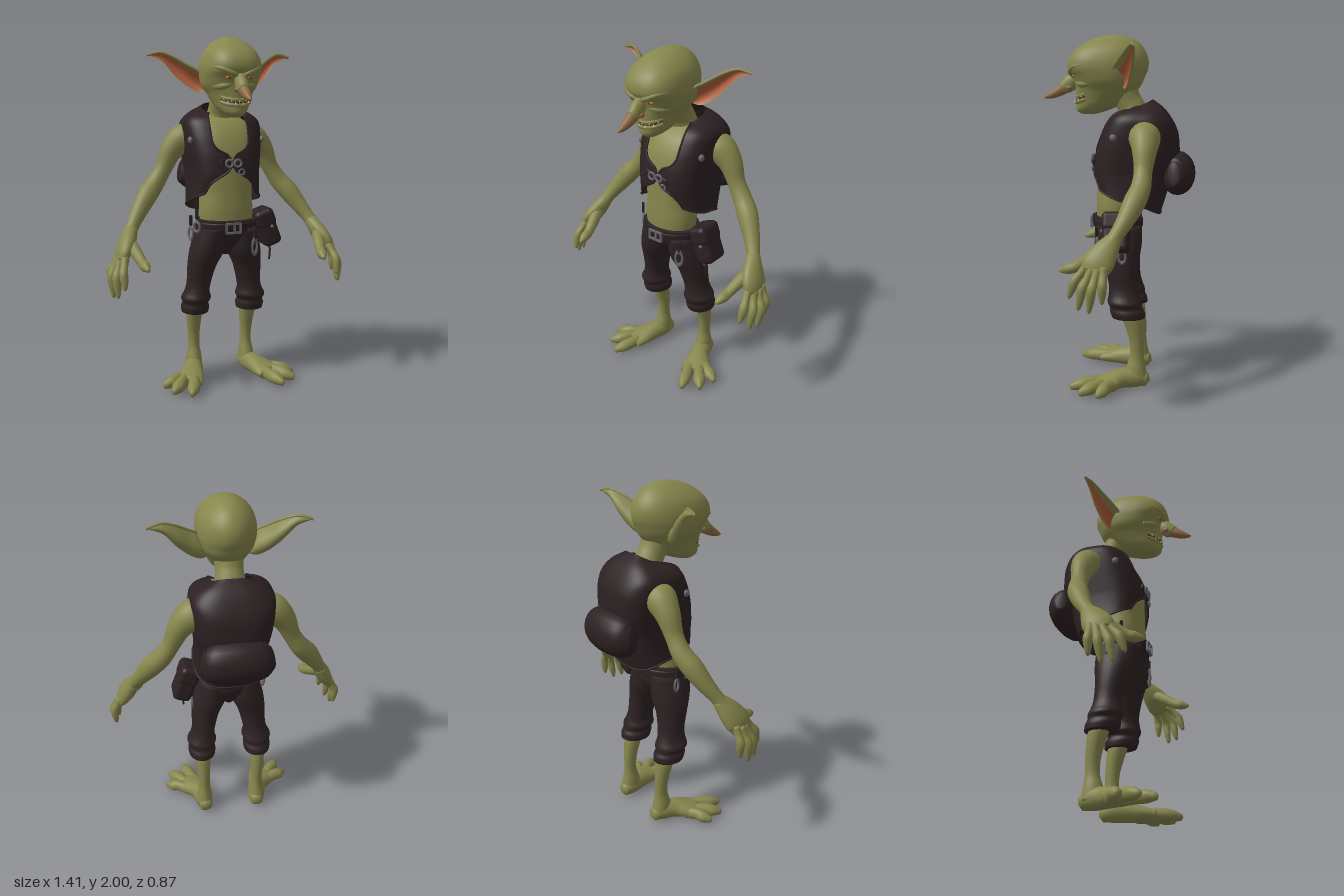
import * as THREE from 'three';
import { mergeVertices } from 'three/addons/utils/BufferGeometryUtils.js';
import { ParametricGeometry } from 'three/addons/geometries/ParametricGeometry.js';
import { RoundedBoxGeometry } from 'three/addons/geometries/RoundedBoxGeometry.js';

const V = (x, y, z) => new THREE.Vector3(x, y, z);
const soft = (k, power) => Math.sign(k) * Math.abs(k) ** power;
const flat = (name, color, side = THREE.FrontSide) => {
  const m = new THREE.MeshStandardMaterial({ color, side });
  m.name = name;
  return m;
};

// Smooth surface from a (u, v) rule, with seams welded
function surface(fn, nu, nv) {
  const g = new ParametricGeometry(fn, nu, nv);
  g.deleteAttribute('normal');
  g.deleteAttribute('uv');
  const welded = mergeVertices(g, 1e-5);
  welded.computeVertexNormals();
  return welded;
}

// Closed body through sections [x, y, z, width radius, depth radius, squareness of the front half]
function limb(pts, { level = false, seg = 20, cap = 0.5 } = {}) {
  const path = new THREE.CatmullRomCurve3(pts.map(p => V(p[0], p[1], p[2])), false, 'catmullrom', 0.5);
  const size = new THREE.CatmullRomCurve3(pts.map(p => V(p[3], p[4] ?? p[3], p[5] ?? 1)), false, 'catmullrom', 0.5);
  const a = pts[0], b = pts[pts.length - 1];
  const ref = !level && Math.abs(b[2] - a[2]) > Math.abs(b[1] - a[1]) ? V(0, 1, 0) : V(0, 0, 1);
  const n = (pts.length - 1) * 5 + 2;
  return surface((u, v, out) => {
    const i = Math.round(v * n), t = Math.min(1, Math.max(0, (i - 1) / (n - 2)));
    const T = level ? V(0, Math.sign(b[1] - a[1]), 0) : path.getTangent(t);
    const S = T.clone().cross(ref).normalize(), N = T.clone().cross(S);
    const r = size.getPoint(t), end = i === 0 ? -1 : i === n ? 1 : 0;
    const k = end ? 0 : 1, ang = (Math.round(u * seg) % seg) / seg * Math.PI * 2;
    const power = N.z * Math.sin(ang) > 0 ? r.z : 1;
    out.copy(path.getPoint(t))
      .addScaledVector(T, end * cap * Math.min(r.x, r.y))
      .addScaledVector(S, k * r.x * soft(Math.cos(ang), power))
      .addScaledVector(N, k * r.y * soft(Math.sin(ang), power));
  }, seg, n);
}

export function createModel() {
  const skin = flat('skin', 0x86864d), skinSheet = flat('ear skin', 0x86864d, THREE.DoubleSide);
  const pink = flat('inner ear', 0xb2603e, THREE.DoubleSide), noseTan = flat('nose tan', 0x8c6a42);
  const leather = flat('dark leather', 0x2c2022, THREE.DoubleSide), cloth = flat('trouser cloth', 0x2e2223);
  const metal = flat('metal', 0x66666a), ivory = flat('teeth', 0xd6cda6);
  const amber = flat('eyes', 0xb4662a), mouthRed = flat('mouth', 0x4e2a1e);
  const model = new THREE.Group();
  const add = (name, geo, mat, pos = [0, 0, 0], rot = [0, 0, 0], scale = [1, 1, 1]) => {
    const m = new THREE.Mesh(geo, mat);
    m.name = name;
    m.position.set(...pos);
    m.rotation.set(...rot);
    m.scale.set(...scale);
    model.add(m);
  };
  const ball = (name, mat, pos, scale) => add(name, new THREE.SphereGeometry(1, 18, 12), mat, pos, [0, 0, 0], scale);
  const tube = (pts, r) => new THREE.TubeGeometry(new THREE.CatmullRomCurve3(pts.map(p => V(...p))), 24, r, 6);

  // Head, neck and torso
  add('head', limb([
    [0, 1.56, .175, .03, .045], [0, 1.58, .155, .06, .09], [0, 1.61, .12, .085, .128], [0, 1.645, .095, .102, .152],
    [0, 1.69, .075, .124, .175], [0, 1.73, .062, .148, .19, .92], [0, 1.77, .06, .158, .205, .82], [0, 1.81, .065, .162, .226, .77],
    [0, 1.86, .062, .157, .225, .77], [0, 1.91, .055, .138, .2, .8], [0, 1.955, .043, .1, .152, .88], [0, 1.985, .033, .056, .09],
    [0, 1.997, .03, .018, .03]], { level: true, seg: 36, cap: .1 }), skin);
  add('neck', limb([[0, 1.74, 0, .09, .09], [0, 1.64, -.045, .077, .075], [0, 1.57, -.08, .085, .08], [0, 1.46, -.1, .13, .1]]), skin);
  add('torso', limb([
    [0, .93, .01, .15, .12], [0, 1.03, .01, .157, .122, .9], [0, 1.13, -.01, .152, .138, .85], [0, 1.23, -.04, .165, .165, .8],
    [0, 1.33, -.06, .185, .18, .78], [0, 1.43, -.085, .19, .178, .78], [0, 1.51, -.095, .165, .14, .8], [0, 1.57, -.095, .09, .065, .9]],
  { level: true, seg: 32, cap: .2 }), skin);

  // Nose with a coloured tip
  add('noseBridge', limb([[0, 1.785, .238, .024, .03], [0, 1.735, .28, .034, .047], [0, 1.7, .33, .03, .034]]), skin);
  add('noseTip', limb([[0, 1.71, .31, .031, .036], [0, 1.682, .358, .026, .028], [0, 1.662, .4, .017, .018], [0, 1.652, .43, .006, .006]]), noseTan);

  // Mouth and teeth follow the curve of the jaw
  const lip = (a, y, out = 0) => [(.102 + out) * Math.sin(a), y + .022 * a * a, .096 + (.152 + out) * Math.cos(a)];
  const arc = [-.95, -.65, -.3, 0, .3, .65, .95];
  add('mouth', tube(arc.map(a => lip(a, 1.637, .001)), .005), mouthRed);
  add('upperLip', tube(arc.map(a => lip(a, 1.651)), .009), skin);
  add('lowerLip', tube(arc.map(a => lip(a, 1.622, -.004)), .012), skin);
  for (let i = -4; i <= 4; i++) {
    const up = i % 2 === 0;
    add('tooth', new THREE.ConeGeometry(.0055, .016, 6), ivory, lip(i * .19, up ? 1.64 : 1.635, .006), [up ? Math.PI : 0, 0, 0]);
  }

  for (const s of [1, -1]) {
    const mir = pts => pts.map(([x, ...rest]) => [s * x, ...rest]);
    const curve = pts => new THREE.CatmullRomCurve3(mir(pts).map(p => V(...p)));

    // Face details
    ball('eye', amber, [s * .06, 1.768, .252], [.019, .009, .012]);
    ball('pupil', mouthRed, [s * .059, 1.768, .263], [.005, .007, .003]);
    add('brow', limb(mir([[.012, 1.776, .268, .012], [.05, 1.793, .276, .014], [.1, 1.816, .252, .014], [.138, 1.825, .2, .008]])), skin);
    add('cheek', limb(mir([[.045, 1.733, .238, .012], [.08, 1.725, .208, .021], [.108, 1.725, .16, .02]])), skin);
    ball('nostril', noseTan, [s * .027, 1.705, .285], [.014, .015, .02]);

    // Long cupped ears
    const upper = curve([[.13, 1.745, .035], [.155, 1.805, .025], [.21, 1.842, -.005], [.28, 1.888, -.05], [.35, 1.915, -.085], [.425, 1.9, -.105]]);
    const lower = curve([[.11, 1.7, -.03], [.15, 1.695, -.04], [.205, 1.725, -.06], [.272, 1.785, -.08], [.345, 1.868, -.097], [.425, 1.9, -.105]]);
    const ear = (v0, v1, front) => surface((u, v, out) => {
      const A = upper.getPoint(u), B = lower.getPoint(u), w = v0 + (v1 - v0) * v;
      const deep = .3 * A.distanceTo(B) * 4 * w * (1 - w);
      out.copy(A).lerp(B, w).add(V(s * -.3 * deep, 0, front - deep));
    }, 24, 12);
    add('ear', ear(0, 1, 0), skinSheet);
    add('innerEar', ear(.17, .95, .006), pink);
    add('earRim', new THREE.TubeGeometry(upper, 24, .008, 6), skin);

    // Arms and hands
    add('arm', limb(mir([
      [.14, 1.44, -.14, .075], [.21, 1.43, -.152, .088], [.28, 1.365, -.155, .068], [.33, 1.26, -.15, .05],
      [.383, 1.175, -.14, .054], [.44, 1.105, -.11, .058], [.5, 1.015, -.065, .046], [.54, .95, -.025, .038], [.565, .9, .005, .042]])), skin);
    add('palm', limb(mir([[.545, .94, -.02, .036, .038], [.578, .875, .025, .046, .068], [.608, .82, .06, .042, .08], [.63, .775, .078, .028, .066]])), skin);
    const fingers = [
      [[.61, .8, .12], [.628, .73, .178], [.625, .65, .205]],
      [[.63, .79, .09], [.66, .7, .135], [.655, .598, .155]],
      [[.64, .79, .06], [.68, .7, .085], [.672, .588, .1]],
      [[.635, .8, .03], [.675, .72, .033], [.672, .635, .035]]];
    fingers.forEach(([a, b, c]) => {
      const mid = (p, q) => p.map((k, i) => (k + q[i]) / 2);
      add('finger', limb(mir([[...a, .025], [...mid(a, b), .021], [...b, .024], [...mid(b, c), .021], [...c, .011]]), { seg: 12, cap: 1 }), skin);
    });
    add('thumb', limb(mir([[.575, .88, .03, .036], [.548, .83, .11, .034], [.527, .785, .18, .028], [.518, .77, .225, .028], [.51, .758, .265, .012]]), { seg: 12, cap: 1 }), skin);

    // Trouser legs with rolled cuffs
    add('trouserLeg', limb(mir([
      [.092, .93, .005, .082, .128], [.11, .8, -.005, .1, .12], [.138, .7, -.018, .084, .094], [.153, .6, -.032, .071, .082],
      [.163, .545, -.038, .073, .088], [.168, .505, -.042, .088, .098], [.17, .475, -.05, .075, .092],
      [.17, .448, -.057, .083, .098], [.17, .415, -.064, .079, .093]]), { level: true, seg: 24, cap: 0 }), cloth);

    // Bare shins, feet and toes
    add('shin', limb(mir([
      [.168, .45, -.07, .05, .055], [.168, .38, -.092, .046, .052], [.166, .28, -.11, .037, .042], [.165, .19, -.112, .034, .04],
      [.166, .12, -.108, .045, .055], [.168, .05, -.105, .05, .075]])), skin);
    add('foot', limb(mir([
      [.162, .045, -.17, .036, .038], [.168, .06, -.11, .052, .058], [.19, .06, -.03, .058, .056],
      [.225, .05, .04, .08, .046], [.255, .04, .1, .088, .035]])), skin);
    const toes = [[[.205, .042, .05], [.225, .046, .13], [.25, .04, .2], [.272, .03, .255]],
      [[.255, .042, .05], [.295, .048, .11], [.33, .04, .155], [.362, .03, .195]],
      [[.25, .042, .01], [.31, .048, .05], [.352, .04, .07], [.393, .03, .092]]];
    toes.forEach(([a, b, c, d]) => {
      add('toe', limb(mir([[...a, .034, .036], [...b, .033, .036], [...c, .036, .034], [...d, .014, .018]]), { seg: 14, cap: .6 }), skin);
    });

    // Vest studs
    ball('stud', metal, [s * .212, 1.43, .02], [.014, .02, .02]);
  }

  // Vest: an open, squarish sheet whose front edges meet at the buckle
  // rows are [y, z, tilt, width, depth, front opening as a share of the width]
  const rows = [
    [1.075, -.058, .075, .207, .18, .72], [1.15, -.068, .045, .202, .203, .6], [1.22, -.078, .01, .202, .22, .35],
    [1.27, -.09, 0, .207, .23, .06], [1.335, -.105, 0, .215, .237, .04], [1.39, -.112, 0, .222, .23, .42],
    [1.46, -.12, 0, .228, .213, .48], [1.53, -.125, .005, .222, .178, .5], [1.58, -.122, -.012, .172, .132, .6], [1.605, -.112, -.035, .105, .078, .8]];
  const mid = new THREE.CatmullRomCurve3(rows.map(r => V(r[0], r[1], r[2])), false, 'catmullrom', .5);
  const wide = new THREE.CatmullRomCurve3(rows.map(r => V(r[3], r[4], r[5])), false, 'catmullrom', .5);
  const square = .66;
  const vestPoint = (u, v, out) => {
    const c = mid.getPoint(v), w = wide.getPoint(v);
    const gap = Math.asin(Math.max(.03, w.z) ** (1 / square));
    const a = gap + u * (Math.PI * 2 - 2 * gap);
    return out.set(w.x * soft(Math.sin(a), square), c.x + c.z * Math.cos(a), c.y + w.y * soft(Math.cos(a), square));
  };
  add('vest', surface(vestPoint, 72, 45), leather);
  for (const u of [0, 1]) add('vestEdge', tube(Array.from({ length: 16 }, (_, i) => vestPoint(u, i / 15, V()).toArray()), .006), leather);
  add('vestHem', tube(Array.from({ length: 24 }, (_, i) => vestPoint(i / 23, 0, V()).toArray()), .006), leather);

  // Chest buckle and its hanging ring
  add('chestStrap', new RoundedBoxGeometry(.15, .035, .014, 2, .006), leather, [0, 1.3, .142], [0, 0, -.2]);
  for (const x of [-.025, .025]) add('chestBuckle', new THREE.TorusGeometry(.02, .007, 6, 12), metal, [x, 1.305, .155]);
  add('hangingRing', new THREE.TorusGeometry(.016, .005, 6, 12), metal, [.05, 1.255, .15]);

  // Pillow-shaped pack on the back
  add('backPack', limb([
    [-.19, 1.235, -.31, .06, .03], [-.165, 1.23, -.318, .09, .062], [-.11, 1.225, -.33, .115, .092], [0, 1.225, -.335, .125, .1],
    [.11, 1.225, -.33, .115, .092], [.165, 1.23, -.318, .09, .062], [.19, 1.235, -.31, .06, .03]], { seg: 20, cap: .15 }), leather);

  // Trouser seat, belt and buckle
  add('trouserSeat', limb([
    [0, .765, -.015, .03, .045], [0, .8, -.012, .075, .075], [0, .845, -.006, .135, .108], [0, .89, .0, .17, .13],
    [0, .935, .008, .176, .138], [0, .98, .014, .172, .144]], { level: true, seg: 28, cap: 0 }), cloth);
  add('belt', limb([[0, .915, .008, .177, .141], [0, .923, .008, .18, .145], [0, .957, .011, .179, .147], [0, .965, .012, .175, .143]],
    { level: true, seg: 28, cap: 0 }), leather);
  for (const y of [-.026, .026]) add('beltBuckle', new THREE.BoxGeometry(.09, .011, .012), metal, [0, .94 + y, .161]);
  for (const x of [-.042, .042, .004]) add('beltBuckle', new THREE.BoxGeometry(.011, .055, .012), metal, [x, .94, .16]);

  // Hip pouch with flap and dangling cord
  add('pouch', new RoundedBoxGeometry(.11, .225, .15, 3, .03), leather, [.248, .915, .0], [0, 0, .36]);
  add('pouchFlap', new RoundedBoxGeometry(.118, .11, .16, 3, .03), leather, [.23, .968, .0], [0, 0, .36]);
  ball('pouchButton', metal, [.262, .925, .08], [.01, .01, .008]);
  add('pouchCord', tube([[.26, .83, .03], [.268, .78, .03], [.264, .72, .03]], .006), leather);

  // Hanging clips
  const clip = (x, y, z, turn, long = 2.2) => {
    add('clipStrap', new THREE.BoxGeometry(.014, .06, .014), leather, [x, y + .075, z], [0, turn, 0]);
    add('clip', new THREE.TorusGeometry(.02, .007, 6, 16), metal, [x, y, z], [0, turn, 0], [1, long, 1]);
  };
  clip(.14, .82, .12, .5);
  clip(.218, .77, -.03, 1.5, 1.6);
  clip(-.2, .89, -.03, -1.2, 1.7);
  clip(-.185, .94, .05, -.9, 1.4);

  return model;
}
